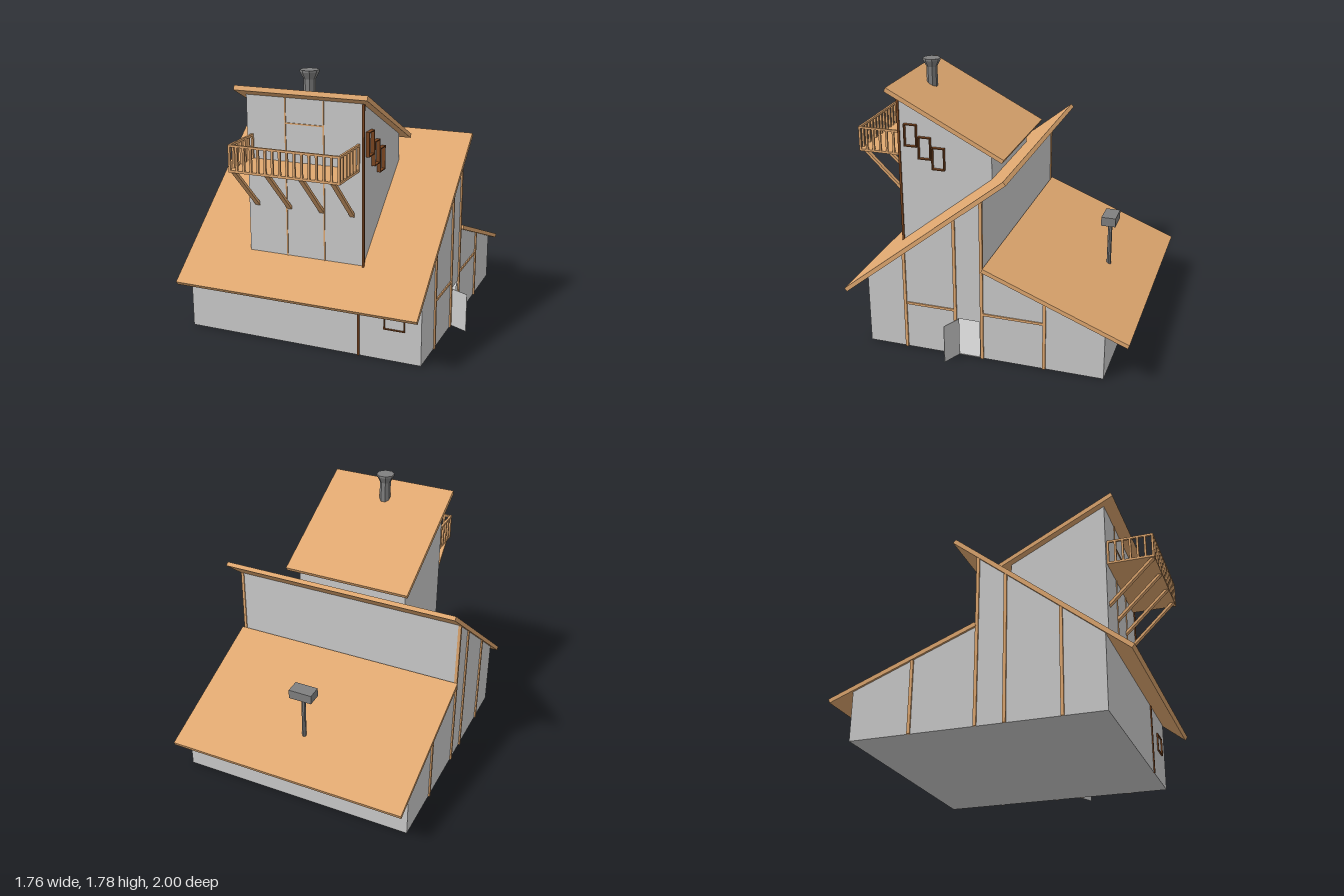
import * as THREE from 'three';

const mat = (color) => new THREE.MeshStandardMaterial({ color, flatShading: true, side: THREE.DoubleSide });

export function createModel() {
  const house = new THREE.Group();
  house.name = 'house';
  const grey = mat(0xcccccc);
  const wood = mat(0xe0a870);
  const darkWood = mat(0x7a4520);
  const metal = mat(0x808080);

  const add = (name, geometry, material, parent = house) => {
    const mesh = new THREE.Mesh(geometry, material);
    mesh.name = name;
    parent.add(mesh);
    return mesh;
  };
  const group = (name) => {
    const g = new THREE.Group();
    g.name = name;
    house.add(g);
    return g;
  };
  // Box given by its minimum and maximum corners
  const box = (name, x0, x1, y0, y1, z0, z1, material, parent) => {
    const g = new THREE.BoxGeometry(x1 - x0, y1 - y0, z1 - z0);
    g.translate((x0 + x1) / 2, (y0 + y1) / 2, (z0 + z1) / 2);
    return add(name, g, material, parent);
  };
  // Outline of [z, y] points extruded from x0 to x1, with optional holes
  const prism = (name, pts, x0, x1, material, parent, holes = []) => {
    const toV = (list) => list.map(([z, y]) => new THREE.Vector2(z, y));
    const shape = new THREE.Shape(toV(pts));
    holes.forEach((h) => shape.holes.push(new THREE.Path(toV(h))));
    const g = new THREE.ExtrudeGeometry(shape, { depth: x1 - x0, bevelEnabled: false });
    g.rotateY(-Math.PI / 2).translate(x1, 0, 0);
    return add(name, g, material, parent);
  };
  // Rectangular frame, w by h, centred on the origin in the xy plane
  const frameGeometry = (w, h, t, depth) => {
    const rect = (P, a, b) => new P([[-a, -b], [a, -b], [a, b], [-a, b]].map((p) => new THREE.Vector2(...p)));
    const shape = rect(THREE.Shape, w / 2, h / 2);
    shape.holes.push(rect(THREE.Path, w / 2 - t, h / 2 - t));
    return new THREE.ExtrudeGeometry(shape, { depth, bevelEnabled: false }).translate(0, 0, -depth / 2);
  };

  // Main house: hollow shell under the two large roofs
  const L = -0.865, R = 0.757, T = 0.01;
  const walls = group('walls');
  const outline = [[0.77, 0], [0.77, 0.48], [-0.03, 1.125], [-0.03, 0.645], [-0.84, 0.33], [-0.84, 0]];
  const doorway = [[-0.01, 0.004], [0.14, 0.004], [0.14, 0.27], [-0.01, 0.27]];
  prism('leftWall', outline, R - T, R, grey, walls, [doorway]);
  prism('rightWall', outline, L, L + T, grey, walls);
  box('frontWall', L, R, 0, 0.48, 0.77 - T, 0.77, grey, walls);
  box('backWall', L, R, 0, 0.325, -0.84, -0.84 + T, grey, walls);
  box('upperBackWall', L, R, 0.62, 1.12, -0.03, -0.03 + T, grey, walls);
  box('floor', L, R, 0, 0.006, -0.84, 0.77, grey, walls);

  const roofs = group('roofs');
  prism('mainRoof', [[0.94, 0.375], [-0.18, 1.276], [-0.2, 1.255], [0.923, 0.352]], -0.88, 0.78, wood, roofs);
  prism('backRoof', [[-0.04, 0.668], [-1, 0.288], [-0.99, 0.262], [-0.03, 0.642]], -0.88, 0.78, wood, roofs);
  prism('towerRoof', [[0.75, 1.675], [-0.06, 1.262], [-0.047, 1.237], [0.763, 1.647]], -0.5, 0.39, wood, roofs);

  // Tower rising through the main roof
  prism('tower', [[0.69, 0.56], [0.69, 1.613], [0.04, 1.284], [0.04, 1.08]], -0.45, 0.338, grey);

  // Timber posts on both side walls, beams on the door side
  const timbers = group('timbers');
  for (const [z, top] of [[0.505, 0.69], [0.155, 0.97], [-0.027, 1.12], [-0.447, 0.475]]) {
    for (const x of [L, R]) box('sidePost', x - 0.01, x + 0.01, 0, top, z - 0.01, z + 0.01, wood, timbers);
  }
  box('sideBeam', R - 0.008, R + 0.008, 0.322, 0.338, 0.155, 0.505, wood, timbers);
  box('sideBeam', R - 0.008, R + 0.008, 0.322, 0.338, -0.447, -0.027, wood, timbers);
  box('frontPost', 0.333, 0.347, 0, 0.475, 0.763, 0.778, darkWood, timbers);
  box('towerCornerPost', 0.333, 0.347, 0.57, 1.608, 0.683, 0.698, darkWood, timbers);
  for (const x of [-0.182, 0.077]) box('towerPost', x - 0.004, x + 0.004, 0.575, 1.608, 0.685, 0.696, wood, timbers);
  box('towerBeam', -0.182, 0.077, 1.445, 1.453, 0.685, 0.696, wood, timbers);

  // Window frames: one in front, three stepping down the tower side
  const windows = group('windows');
  add('frontWindow', frameGeometry(0.14, 0.122, 0.007, 0.016), darkWood, windows).position.set(0.58, 0.272, 0.772);
  for (const [z, y] of [[0.604, 1.35], [0.506, 1.269], [0.41, 1.204]]) {
    const w = add('sideWindow', frameGeometry(0.09, 0.156, 0.007, 0.026), darkWood, windows);
    w.rotation.y = Math.PI / 2;
    w.position.set(0.35, y, z);
  }

  // Door standing ajar
  const door = add('door', new THREE.BoxGeometry(0.137, 0.266, 0.004).translate(0.0685, 0.137, 0), grey);
  door.position.set(0.758, 0, 0.132);
  door.rotation.y = -Math.atan2(0.058, 0.122);

  // Balcony with railings and diagonal braces
  const balcony = group('balcony');
  const bx0 = -0.42, bx1 = 0.315, bz0 = 0.69, bz1 = 1, b = 0.014;
  box('balconyFloor', bx0, bx1, 1.187, 1.202, bz0, bz1, wood, balcony);
  box('frontRail', bx0, bx1, 1.347, 1.361, bz1 - b, bz1, wood, balcony);
  for (const x of [bx0, bx1 - b]) {
    box('sideRail', x, x + b, 1.347, 1.361, bz0, bz1 - b, wood, balcony);
    for (let i = 0; i < 6; i++) {
      const z = bz0 + i * (bz1 - b - bz0) / 6;
      box('sideBaluster', x, x + b, 1.2, 1.35, z, z + b, wood, balcony);
    }
  }
  for (let i = 0; i <= 15; i++) {
    const x = bx0 + i * (bx1 - b - bx0) / 15;
    box('frontBaluster', x, x + b, 1.2, 1.35, bz1 - b, bz1, wood, balcony);
  }
  const brace = [[0.688, 0.888], [0.995, 1.188], [0.97, 1.188], [0.688, 0.913]];
  for (const x of [-0.39, -0.165, 0.06, 0.266]) prism('brace', brace, x - 0.016, x + 0.016, wood, balcony);

  // Octagonal chimney with a flared top
  const profile = [[0, 1.54], [0.038, 1.54], [0.038, 1.72], [0.061, 1.765], [0.061, 1.778], [0, 1.778]];
  const chimney = new THREE.LatheGeometry(profile.map((p) => new THREE.Vector2(...p)), 8, Math.PI / 8);
  add('chimney', chimney, metal).position.set(-0.053, 0, 0.6);

  // Stove pipe with a box cap on the back roof
  const pipe = group('stovePipe');
  add('pipe', new THREE.CylinderGeometry(0.015, 0.015, 0.36, 8), metal, pipe).position.set(-0.053, 0.56, -0.682);
  box('pipeCap', -0.133, 0.027, 0.725, 0.787, -0.732, -0.634, metal, pipe);

  return house;
}
